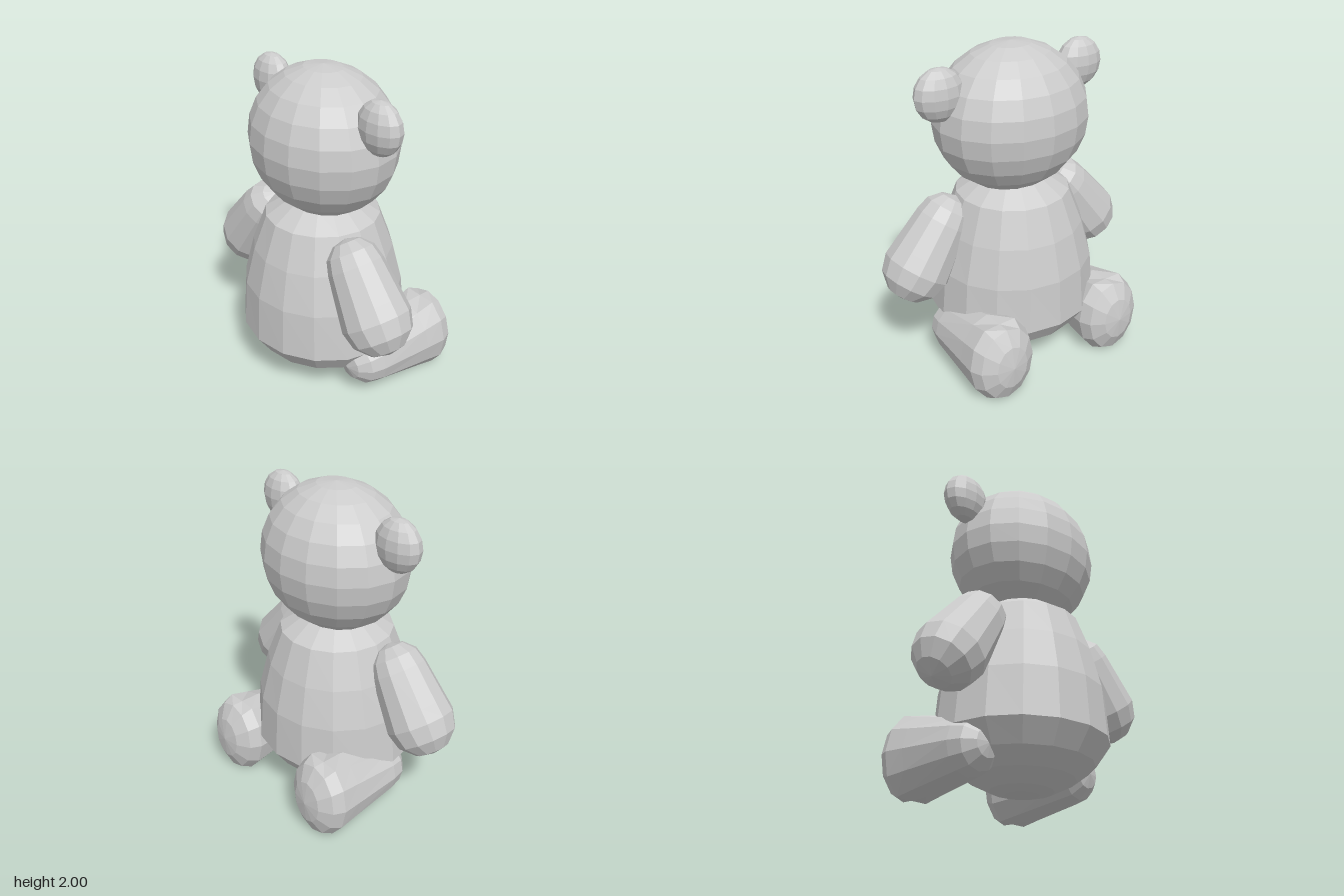
import * as THREE from 'three';

const material = new THREE.MeshStandardMaterial({ color: 0xcccccc, flatShading: true });

function add(group, name, geometry, position = [0, 0, 0], scale = [1, 1, 1]) {
  const mesh = new THREE.Mesh(geometry, material);
  mesh.name = name;
  mesh.position.set(...position);
  mesh.scale.set(...scale);
  group.add(mesh);
}

// Tapered capsule from a to b; endDepth sets how far the far cap bulges,
// stretch widens it vertically towards the far end.
function limb(a, b, ra, rb, endDepth = rb, stretch = 1) {
  const start = new THREE.Vector3(...a);
  const axis = new THREE.Vector3(...b).sub(start);
  const length = axis.length();
  const profile = [];
  const steps = 3;
  for (let i = 0; i <= steps; i++) {
    const t = (i / steps) * Math.PI / 2;
    profile.push(new THREE.Vector2(ra * Math.sin(t), -ra * Math.cos(t)));
  }
  profile.push(new THREE.Vector2(THREE.MathUtils.lerp(ra, rb, 0.72), length * 0.72));
  for (let i = 0; i <= steps; i++) {
    const t = (i / steps) * Math.PI / 2;
    profile.push(new THREE.Vector2(Math.max(0, rb * Math.cos(t)), length + endDepth * Math.sin(t)));
  }
  const geometry = new THREE.LatheGeometry(profile, 12);
  const p = geometry.attributes.position;
  for (let i = 0; i < p.count; i++) {
    const t = THREE.MathUtils.clamp(p.getY(i) / length, 0, 1);
    p.setX(i, p.getX(i) * THREE.MathUtils.lerp(1, stretch, t));
  }
  geometry.applyQuaternion(
    new THREE.Quaternion().setFromUnitVectors(new THREE.Vector3(0, 1, 0), axis.normalize()));
  return geometry.translate(...a);
}

// Flatten the top and sole of a leg
function flatten(geometry, low, high) {
  const p = geometry.attributes.position;
  for (let i = 0; i < p.count; i++) p.setY(i, THREE.MathUtils.clamp(p.getY(i), low, high));
  geometry.computeVertexNormals();
  return geometry;
}

export function createModel() {
  const bear = new THREE.Group();
  bear.name = 'teddyBear';

  // Pear-shaped body, slightly wider across the hips
  const profile = [
    [0, 0.016], [0.1, 0.02], [0.18, 0.042], [0.305, 0.106], [0.415, 0.19], [0.505, 0.32],
    [0.487, 0.62], [0.43, 0.86], [0.35, 1.08], [0.215, 1.17], [0, 1.18],
  ].map(([r, y]) => new THREE.Vector2(r, y));
  const body = new THREE.LatheGeometry(profile, 16);
  const p = body.attributes.position;
  for (let i = 0; i < p.count; i++) {
    p.setZ(i, p.getZ(i) * THREE.MathUtils.mapLinear(p.getY(i), 0, 1.18, 1.08, 1));
  }
  add(bear, 'body', body, [-0.055, 0, 0.01]);

  // Head
  add(bear, 'head', new THREE.SphereGeometry(1, 16, 12), [-0.053, 1.55, 0.018], [0.42, 0.45, 0.49]);

  // Paired parts, mirrored across z
  for (const [side, s] of [['left', 1], ['right', -1]]) {
    add(bear, side + 'Ear', new THREE.SphereGeometry(1, 12, 8),
      [-0.052, 1.775, 0.008 + s * 0.495], [0.1, 0.157, 0.157]);

    const armX = s > 0 ? -0.16 : -0.14;
    add(bear, side + 'Arm',
      limb([armX, 0.93, s * 0.455], [armX, 0.66, s * 0.65], 0.17, 0.212));

    const leg = limb([-0.04, 0.215, 0.025 + s * 0.42], [0.415, 0.2375, 0.022 + s * 0.415],
      0.17, 0.217, 0.142, 1.27);
    add(bear, side + 'Leg', flatten(leg, 0, 0.475));
  }
  return bear;
}
